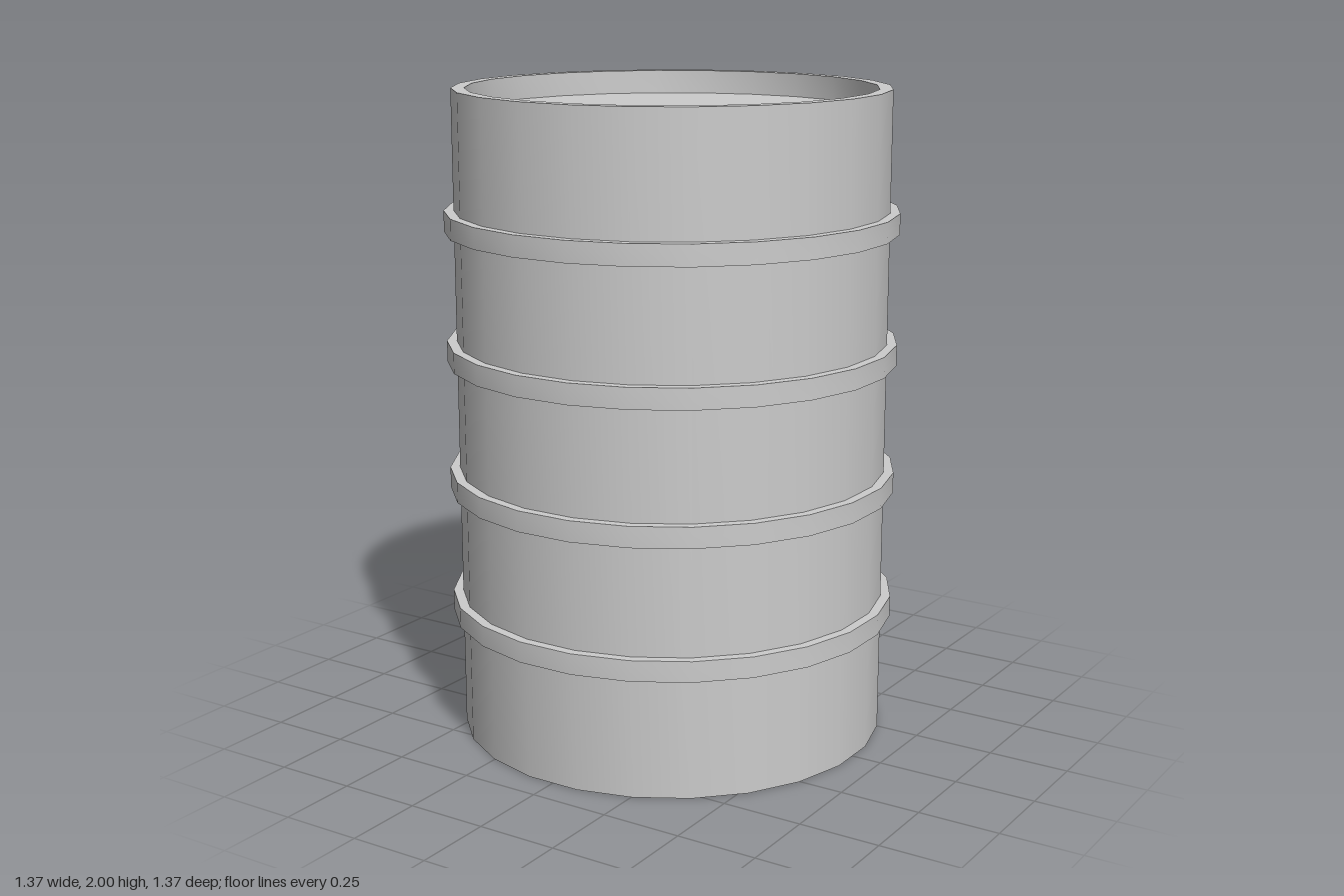
import * as THREE from 'three';
import { toCreasedNormals } from 'three/addons/utils/BufferGeometryUtils.js';

const SIDES = 24;
const HALF_STEP = Math.PI / SIDES; // puts a flat side on each axis
const OUTER = 0.66, INNER = 0.62, BAND = 0.69;
const HEIGHT = 2, LID_Y = 1.927, BASE_Y = 0.13;

const material = new THREE.MeshStandardMaterial({ color: 0xcccccc });

function addMesh(group, name, geometry) {
  const mesh = new THREE.Mesh(geometry, material);
  mesh.name = name;
  group.add(mesh);
  return mesh;
}

// Revolve [radius, y] points: smooth around the axis, sharp at the profile corners
function revolve(profile) {
  const points = profile.map(([r, y]) => new THREE.Vector2(r, y));
  return toCreasedNormals(new THREE.LatheGeometry(points, SIDES, HALF_STEP), 0.6);
}

export function createModel() {
  const barrel = new THREE.Group();
  barrel.name = 'barrel';

  // Wall with a raised rim at both ends
  addMesh(barrel, 'wall', revolve([
    [INNER, BASE_Y], [INNER, 0], [OUTER, 0],
    [OUTER, HEIGHT], [INNER, HEIGHT], [INNER, LID_Y],
  ]));

  // Recessed lid and base
  const disc = new THREE.CircleGeometry(INNER, SIDES, HALF_STEP);
  const lid = addMesh(barrel, 'lid', disc);
  lid.rotation.x = -Math.PI / 2;
  lid.position.y = LID_Y;
  const base = addMesh(barrel, 'base', disc);
  base.rotation.x = Math.PI / 2;
  base.position.y = BASE_Y;

  // Four evenly spaced reinforcing bands
  const h = 0.032;
  const bandGeometry = revolve([[OUTER, -h], [BAND, -h], [BAND, h], [OUTER, h]]);
  for (let i = 1; i <= 4; i++) {
    addMesh(barrel, `band${i}`, bandGeometry).position.y = 0.4 * i + 0.003;
  }

  return barrel;
}
